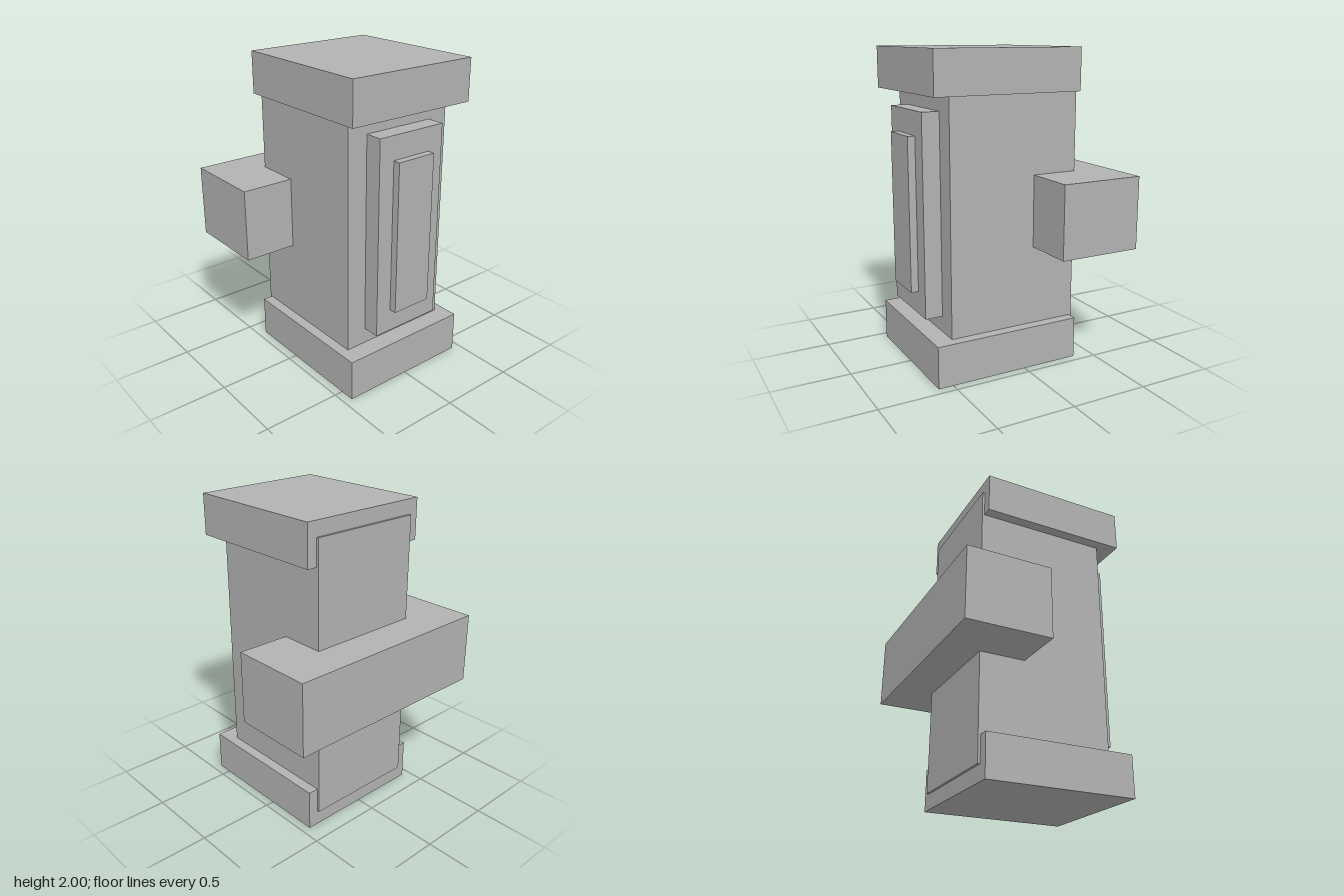
import * as THREE from 'three';

export function createModel() {
  const model = new THREE.Group();
  const stone = new THREE.MeshStandardMaterial({ color: 0xb2b2b2 });
  stone.name = 'grey';

  // Block centred on x = 0, given its width and its y and z ranges
  function block(name, width, [y0, y1], [z0, z1]) {
    const mesh = new THREE.Mesh(new THREE.BoxGeometry(width, y1 - y0, z1 - z0), stone);
    mesh.name = name;
    mesh.position.set(0, (y0 + y1) / 2, (z0 + z1) / 2);
    model.add(mesh);
  }

  // Main shaft, standing slightly proud of the base and cap at the back
  block('column', 0.757, [0.1, 1.905], [-0.39, 0.475]);

  // Matching slabs at the bottom and top
  block('base', 0.89, [0, 0.268], [-0.375, 0.597]);
  block('cap', 0.89, [1.735, 2], [-0.375, 0.597]);

  // Stepped panel on the front
  block('frontPanel', 0.485, [0.37, 1.637], [0.42, 0.587]);
  block('innerPanel', 0.272, [0.517, 1.487], [0.54, 0.634]);

  // Beam crossing the back
  block('crossbar', 1.434, [0.772, 1.232], [-0.634, -0.093]);

  return model;
}
